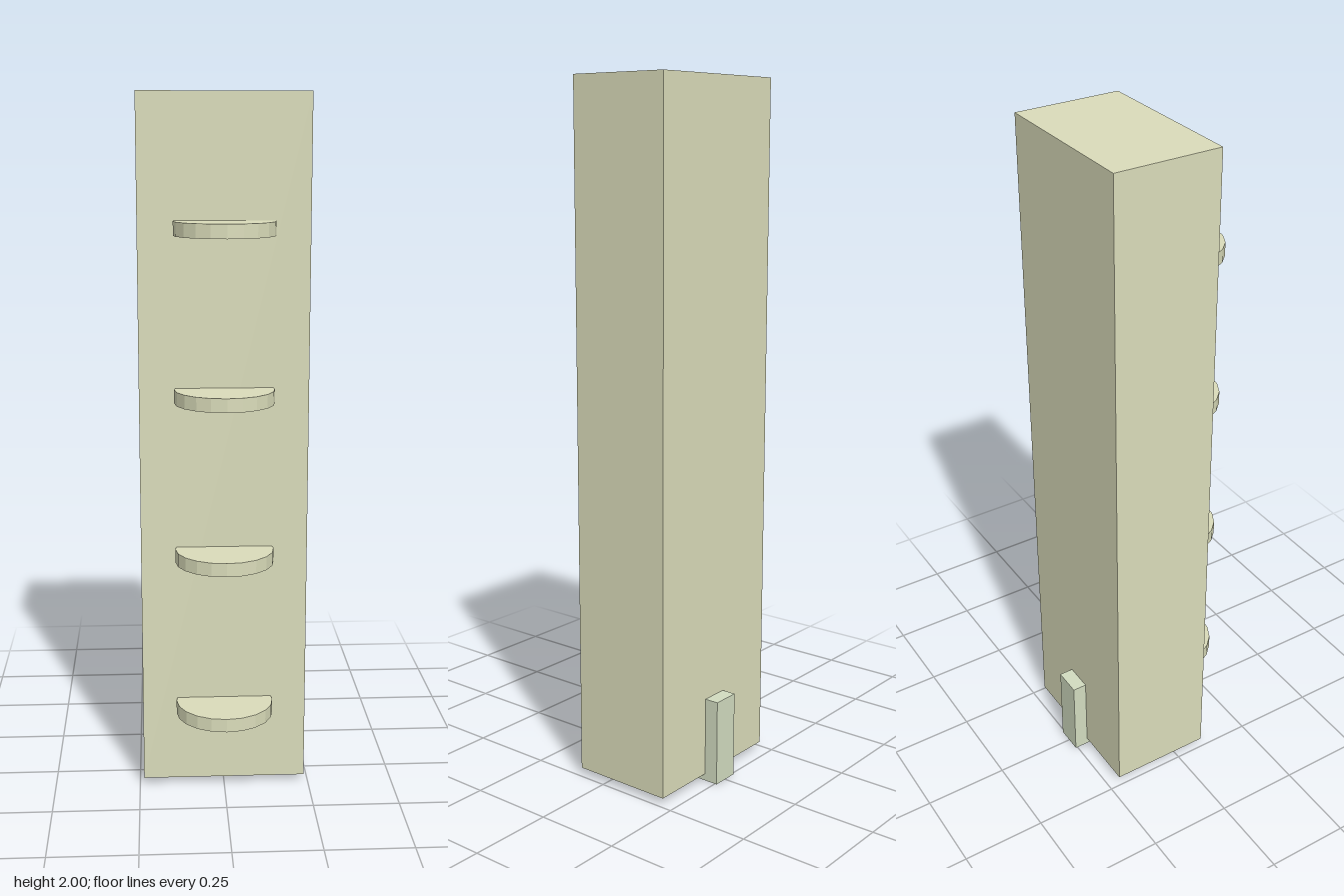
import * as THREE from 'three';

export function createModel() {
  const model = new THREE.Group();
  const bodyMaterial = new THREE.MeshStandardMaterial({ color: 0xdadcba, flatShading: true });
  const bracketMaterial = new THREE.MeshStandardMaterial({ color: 0xd2dcc0, flatShading: true });

  const add = (name, geometry, material, x, y, z) => {
    const mesh = new THREE.Mesh(geometry, material);
    mesh.name = name;
    mesh.position.set(x, y, z);
    model.add(mesh);
    return mesh;
  };

  // Tall slab body, raised slightly off the ground by the bracket foot
  add('body', new THREE.BoxGeometry(0.476, 1.98, 0.307), bodyMaterial, 0, 1.01, -0.06);

  // Four round shelves sunk into the front face
  const shelf = new THREE.CylinderGeometry(0.14, 0.14, 0.039, 20);
  for (let i = 0; i < 4; i++) {
    add('shelf' + (i + 1), shelf, bodyMaterial, 0, 0.255 + i * 0.4615, 0.114);
  }

  // L-shaped bracket: upright behind the body, foot underneath it
  const width = 0.084;
  const profile = new THREE.Shape([
    [0.256, 0], [0.256, 0.253], [0.214, 0.253], [0.214, 0.02], [0.085, 0.02], [0.085, 0],
  ].map(([back, y]) => new THREE.Vector2(back, y)));
  const bracket = new THREE.ExtrudeGeometry(profile, { depth: width, bevelEnabled: false });
  bracket.translate(0, 0, -width / 2);
  bracket.rotateY(Math.PI / 2); // profile x runs toward the back
  add('bracket', bracket, bracketMaterial, 0, 0, 0);

  return model;
}
